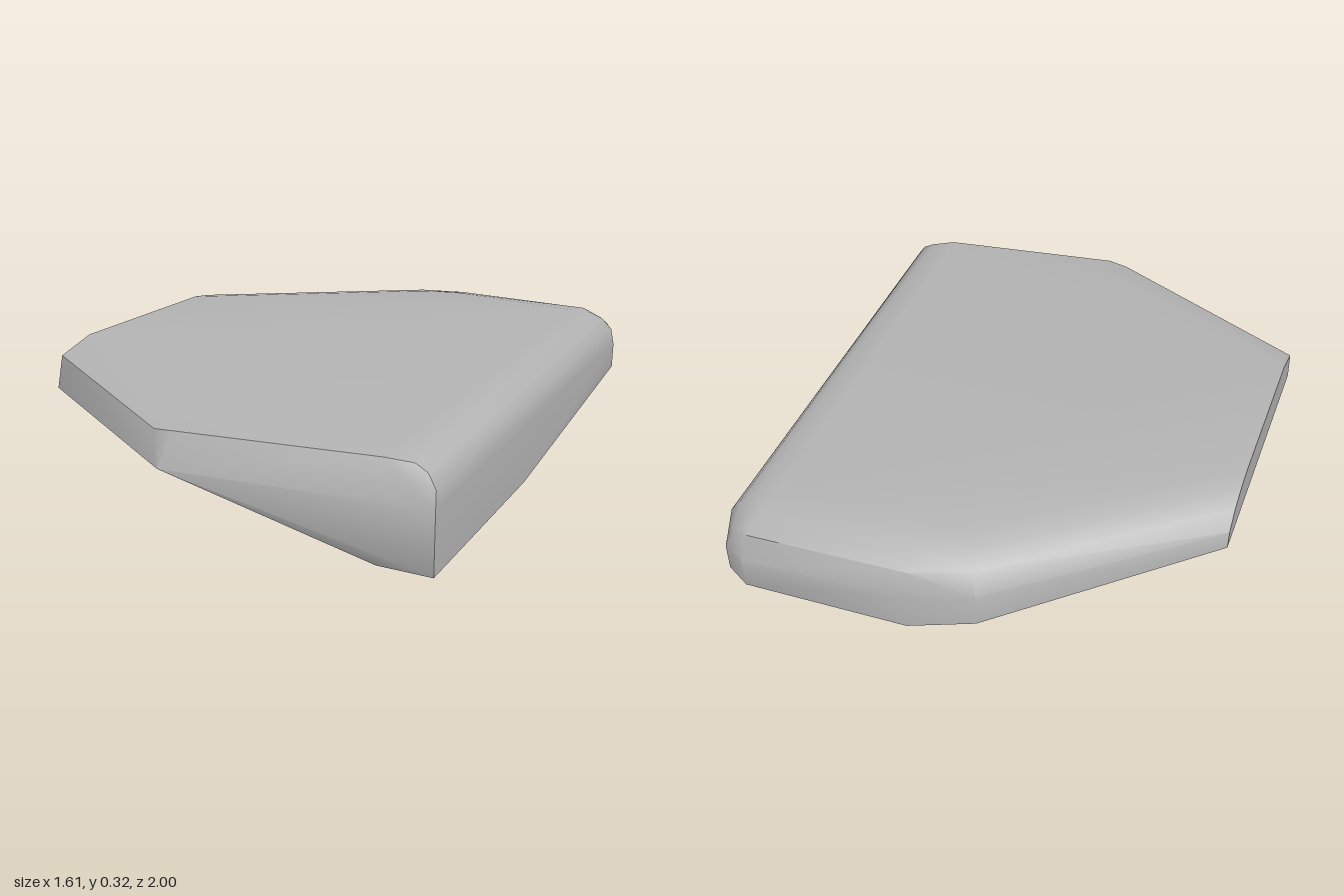
import * as THREE from 'three';
import { ConvexGeometry } from 'three/addons/geometries/ConvexGeometry.js';
import { toCreasedNormals } from 'three/addons/utils/BufferGeometryUtils.js';

export function createModel() {
  const stone = new THREE.MeshStandardMaterial({ color: 0xb6b6b6 });
  stone.name = 'grey stone';

  // Underside: flat near the front right corner, rising to the left and back
  const underside = [
    [0.8, 0, 0.82], [0.63, 0, 0.84], [0.28, 0, 0.35], [0.75, 0, 0.11],
    [0.68, 0.1, -0.87], [0.64, 0.1, -0.96], [0.56, 0.09, -1], [0.03, 0.07, -0.965],
    [-0.17, 0.09, -0.9], [-0.81, 0.17, -0.4], [-0.81, 0.17, 0.58], [-0.01, 0.2, 0.995],
  ];

  // Upper edge of the walls, where the rounding begins
  const shoulder = [
    [0.8, 0.2, 0.82], [0.68, 0.19, -0.87], [0.64, 0.19, -0.96], [0.56, 0.19, -1],
    [0.03, 0.19, -0.965], [-0.17, 0.2, -0.9], [-0.81, 0.23, -0.395],
  ];

  // Rounded rim
  const rim = [
    [0.79, 0.25, 0.8], [0.76, 0.29, 0.79], [0.72, 0.31, 0.79],
    [0.67, 0.25, -0.86], [0.635, 0.29, -0.85], [0.59, 0.312, -0.83],
    [0.62, 0.25, -0.94], [0.55, 0.27, -0.965], [0.54, 0.305, -0.9],
    [0.03, 0.265, -0.935], [0.03, 0.303, -0.87],
    [-0.15, 0.27, -0.865], [-0.12, 0.305, -0.81],
    [-0.81, 0.28, -0.345], [-0.81, 0.308, -0.27],
    [-0.81, 0.28, 0.55], [-0.07, 0.29, 0.93], [0, 0.3, 0.935],
  ];

  // Flat top
  const top = [
    [0.64, 0.32, 0.82], [0.53, 0.32, -0.8], [0.03, 0.32, -0.79],
    [-0.09, 0.32, -0.74], [-0.81, 0.32, -0.19], [-0.81, 0.32, 0.41], [-0.02, 0.32, 0.82],
  ];

  const points = [...underside, ...shoulder, ...rim, ...top].map(p => new THREE.Vector3(...p));
  const slab = new THREE.Mesh(toCreasedNormals(new ConvexGeometry(points), 0.6), stone);
  slab.name = 'stoneSlab';

  const group = new THREE.Group();
  group.name = 'flatRock';
  group.add(slab);
  return group;
}
